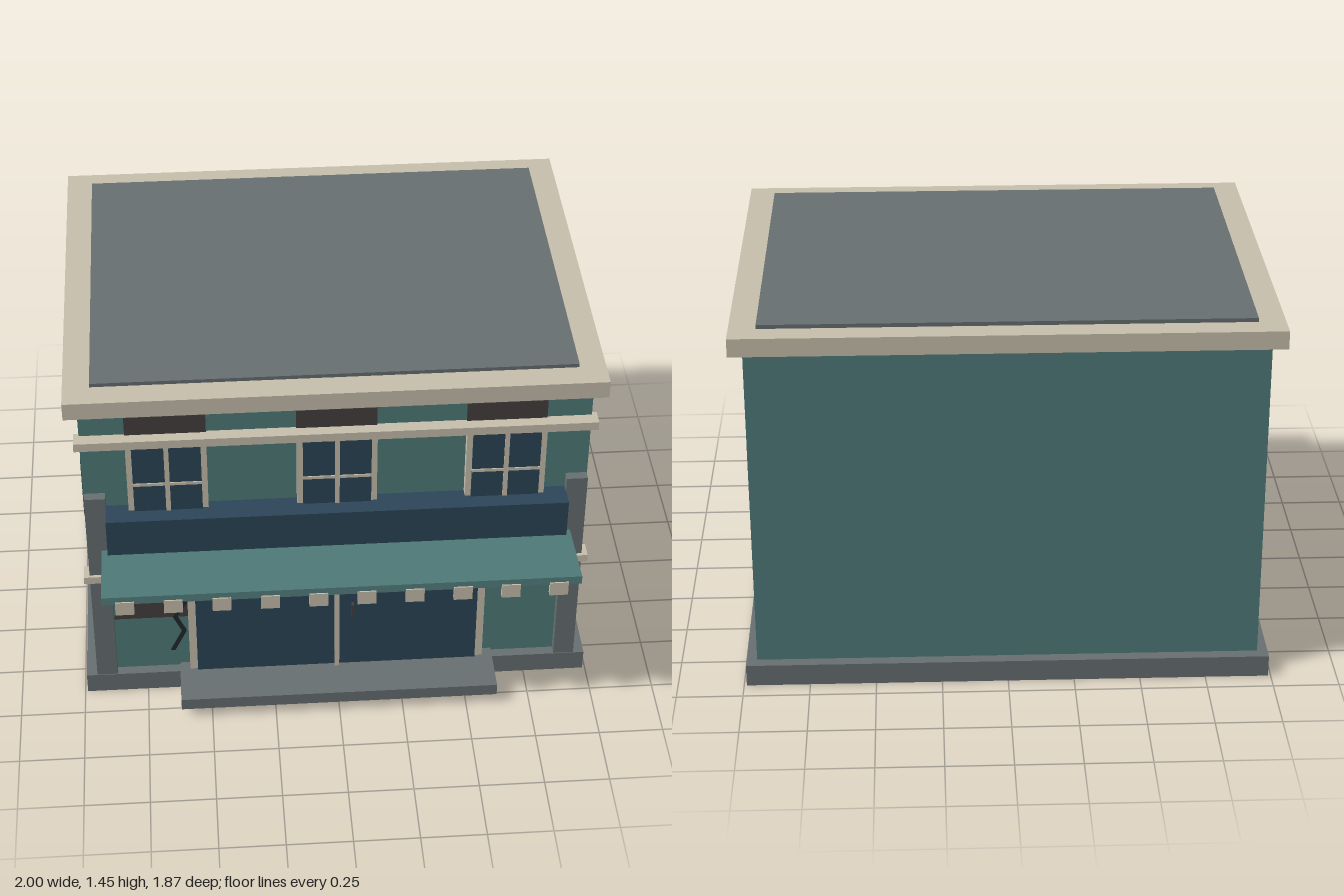
import * as THREE from 'three';

const mat = (name, color) => {
  const m = new THREE.MeshStandardMaterial({ color });
  m.name = name;
  return m;
};

export function createModel() {
  const teal = mat('teal paint', 0x4f7b79);
  const gray = mat('gray stone', 0x677072);
  const cream = mat('cream trim', 0xc8c0ad);
  const navy = mat('navy glass', 0x2c4658);
  const brown = mat('brown stain', 0x463f3f);
  const black = mat('crack black', 0x23282b);

  const model = new THREE.Group();
  model.name = 'shopBuilding';

  // Box given by its min and max on each axis
  const box = (name, m, [x0, x1], [y0, y1], [z0, z1], parent = model) => {
    const mesh = new THREE.Mesh(new THREE.BoxGeometry(x1 - x0, y1 - y0, z1 - z0), m);
    mesh.position.set((x0 + x1) / 2, (y0 + y1) / 2, (z0 + z1) / 2);
    mesh.name = name;
    parent.add(mesh);
    return mesh;
  };
  const group = (name) => {
    const g = new THREE.Group();
    g.name = name;
    model.add(g);
    return g;
  };

  // Main masses
  box('base', gray, [-0.99, 0.99], [0, 0.085], [-0.925, 0.63]);
  box('walls', teal, [-0.95, 0.95], [0.085, 1.36], [-0.88, 0.59]);
  box('cornice', cream, [-1, 1], [1.36, 1.43], [-0.935, 0.635]);
  box('roof', gray, [-0.9, 0.9], [1.425, 1.445], [-0.845, 0.535]);
  box('step', gray, [-0.62, 0.62], [0.045, 0.095], [0.59, 0.805]);

  // Facade bands and pilasters
  box('upperBand', cream, [-0.97, 0.97], [1.215, 1.25], [0.575, 0.64]);
  box('lowerBand', cream, [-0.97, 0.97], [0.573, 0.605], [0.575, 0.64]);
  for (const s of [-1, 1]) {
    const x = s * 0.908;
    box('pilaster', gray, [x - 0.04, x + 0.04], [0.085, 0.977], [0.58, 0.627]);
  }

  // Upper windows with stained lintels
  for (const x of [-0.633, 0, 0.633]) {
    const w = group('upperWindow');
    box('windowFrame', cream, [x - 0.15, x + 0.15], [0.84, 1.235], [0.585, 0.624], w);
    box('windowGlass', navy, [x - 0.128, x + 0.128], [0.865, 1.216], [0.624, 0.63], w);
    box('mullion', cream, [x - 0.009, x + 0.009], [0.865, 1.216], [0.624, 0.634], w);
    box('crossbar', cream, [x - 0.128, x + 0.128], [1.035, 1.047], [0.624, 0.634], w);
    box('lintelStain', brown, [x - 0.15, x + 0.15], [1.24, 1.33], [0.59, 0.597], w);
  }

  // Side windows, two on each side
  for (const s of [-1, 1]) {
    for (const z of [0.145, -0.5]) {
      const w = group('sideWindow');
      const span = (a, b) => (s > 0 ? [a, b] : [-b, -a]);
      box('windowFrame', cream, span(0.94, 0.966), [0.577, 0.89], [z - 0.132, z + 0.132], w);
      box('windowGlass', navy, span(0.966, 0.972), [0.597, 0.87], [z - 0.112, z + 0.112], w);
    }
  }

  // Double door
  const door = group('door');
  box('doorFrame', cream, [-0.58, 0.58], [0.085, 0.7], [0.585, 0.628], door);
  box('doorGlass', navy, [-0.55, 0.55], [0.09, 0.68], [0.628, 0.636], door);
  box('doorMullion', cream, [-0.009, 0.009], [0.09, 0.685], [0.628, 0.65], door);
  box('doorHandle', brown, [0.056, 0.066], [0.345, 0.415], [0.635, 0.657], door);

  // Sign board, tilted awning and its tabs
  box('signBoard', navy, [-0.87, 0.87], [0.757, 0.915], [0.59, 0.692]);
  const awning = box('awning', teal, [-0.895, 0.895], [0.706, 0.738], [0.598, 0.93]);
  awning.rotation.x = -0.08;
  for (let i = 0; i < 10; i++) {
    const x = -0.81 + i * 0.18;
    box('awningTab', cream, [x - 0.035, x + 0.035], [0.67, 0.73], [0.915, 0.935]);
  }

  // Flat plates on the wall: worn plaster patch and crack
  const plate = (name, m, points, z) => {
    const shape = new THREE.Shape(points.map(([x, y]) => new THREE.Vector2(x, y)));
    const mesh = new THREE.Mesh(
      new THREE.ExtrudeGeometry(shape, { depth: 0.006, bevelEnabled: false }), m);
    mesh.position.z = z;
    mesh.name = name;
    model.add(mesh);
  };
  plate('wornPatch', brown, [[-0.87, 0.345], [-0.57, 0.345], [-0.57, 0.69],
    [-0.64, 0.69], [-0.8, 0.59]], 0.59);
  const crack = [[-0.583, 0.435], [-0.631, 0.35], [-0.597, 0.275], [-0.645, 0.175]];
  const offset = (d) => crack.map(([x, y]) => [x + d, y]);
  plate('crack', black, [...offset(-0.009), ...offset(0.009).reverse()], 0.597);

  return model;
}
